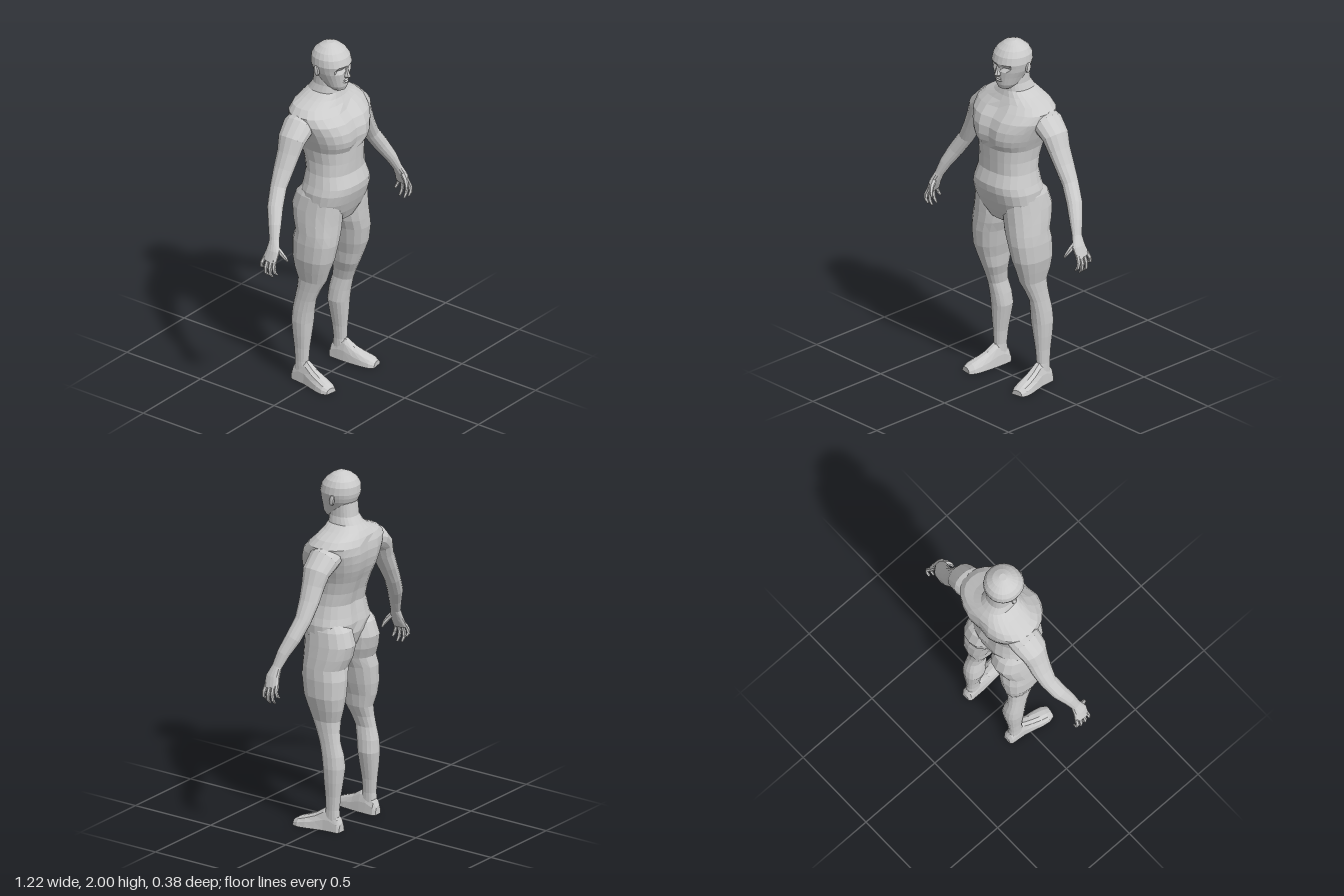
import * as THREE from 'three';

const material = new THREE.MeshStandardMaterial({ color: 0xcccccc, flatShading: true });

// Skin a list of rings (arrays of Vector3) into a closed surface.
function skin(rings) {
  const n = rings[0].length, pos = [], index = [];
  rings.forEach(r => r.forEach(p => pos.push(p.x, p.y, p.z)));
  for (let i = 0; i < rings.length - 1; i++) {
    for (let j = 0; j < n; j++) {
      const a = i * n + j, b = i * n + (j + 1) % n;
      index.push(a, a + n, b, b, a + n, b + n);
    }
  }
  [0, rings.length - 1].forEach(i => {
    const c = new THREE.Vector3();
    rings[i].forEach(p => c.addScaledVector(p, 1 / n));
    const k = pos.length / 3;
    pos.push(c.x, c.y, c.z);
    for (let j = 0; j < n; j++) {
      const a = i * n + j, b = i * n + (j + 1) % n;
      if (i === 0) index.push(k, a, b); else index.push(k, b, a);
    }
  });
  const g = new THREE.BufferGeometry();
  g.setAttribute('position', new THREE.Float32BufferAttribute(pos, 3));
  g.setIndex(index);
  g.computeVertexNormals();
  return g;
}

// Superellipse ring in the plane of u and v.
function ring(c, u, v, ru, rv, n, power) {
  const bend = t => Math.sign(t) * Math.pow(Math.abs(t), 2 / power);
  return Array.from({ length: n }, (_, j) => {
    const a = j / n * Math.PI * 2;
    return c.clone().addScaledVector(u, ru * bend(Math.cos(a))).addScaledVector(v, rv * bend(Math.sin(a)));
  });
}

const X = new THREE.Vector3(1, 0, 0), Z = new THREE.Vector3(0, 0, 1);

// Level slices, bottom to top: [y, xMin, xMax, zFront, zBack].
function slices(rows, n, power = 2, shape = () => {}) {
  return skin(rows.map(([y, x0, x1, zf, zb]) => {
    const r = ring(new THREE.Vector3((x0 + x1) / 2, y, (zf + zb) / 2), X, Z, (x1 - x0) / 2, (zf - zb) / 2, n, power);
    r.forEach(shape);
    return r;
  }));
}
const centred = rows => rows.map(([y, w, zf, zb]) => [y, -w, w, zf, zb]);

// Limb swept along a path: [x, y, z, radius across, radius along the hint].
function limb(rows, n, hint = Z, power = 2) {
  const pts = rows.map(r => new THREE.Vector3(r[0], r[1], r[2]));
  return skin(rows.map((r, i) => {
    const t = pts[Math.min(i + 1, pts.length - 1)].clone().sub(pts[Math.max(i - 1, 0)]).normalize();
    const v = hint.clone().addScaledVector(t, -hint.dot(t)).normalize();
    return ring(pts[i], t.clone().cross(v), v, r[3], r[4], n, power);
  }));
}

function mirrored(geometry) {
  const g = geometry.clone().scale(-1, 1, 1), ix = g.index.array;
  for (let i = 0; i < ix.length; i += 3) [ix[i], ix[i + 1]] = [ix[i + 1], ix[i]];
  g.computeVertexNormals();
  return g;
}

export function createModel() {
  const model = new THREE.Group();
  model.name = 'humanFigure';
  const add = (name, geometry) => {
    const m = new THREE.Mesh(geometry, material);
    m.name = name;
    model.add(m);
  };
  const addPair = (name, geometry) => {
    add('left' + name, geometry);
    add('right' + name, mirrored(geometry));
  };

  // Torso from crotch to neck, with breastbone and spine grooves
  add('torso', slices(centred([
    [0.94, 0.045, 0.06, -0.03], [0.98, 0.1, 0.12, -0.07], [1.04, 0.17, 0.148, -0.1],
    [1.1, 0.2, 0.17, -0.12], [1.16, 0.2, 0.188, -0.128], [1.2, 0.187, 0.19, -0.12],
    [1.27, 0.17, 0.165, -0.108], [1.34, 0.165, 0.166, -0.125], [1.41, 0.173, 0.168, -0.15],
    [1.445, 0.186, 0.186, -0.165], [1.48, 0.2, 0.192, -0.178], [1.53, 0.218, 0.186, -0.19],
    [1.58, 0.238, 0.163, -0.195], [1.625, 0.24, 0.12, -0.19], [1.66, 0.205, 0.085, -0.175],
    [1.69, 0.135, 0.068, -0.155], [1.72, 0.085, 0.058, -0.13], [1.76, 0.072, 0.055, -0.102],
    [1.84, 0.07, 0.04, -0.092],
  ]), 24, 2.4, p => {
    if (Math.abs(p.x) > 0.005) return;
    if (p.z > 0 && p.y > 1.43 && p.y < 1.64) p.z -= 0.016;
    if (p.z < 0 && p.y > 1.15 && p.y < 1.64) p.z += 0.012;
  }));

  // Head with eye hollows
  add('head', slices(centred([
    [1.74, 0.04, 0.09, -0.01], [1.765, 0.062, 0.1, -0.045], [1.81, 0.08, 0.104, -0.075],
    [1.845, 0.096, 0.107, -0.097], [1.868, 0.102, 0.108, -0.106], [1.89, 0.107, 0.112, -0.11],
    [1.93, 0.102, 0.1, -0.108], [1.96, 0.085, 0.077, -0.092], [1.985, 0.055, 0.045, -0.062],
    [2, 0.02, 0.015, -0.025],
  ]), 24, 2.1, p => {
    const eye = Math.abs(p.x) > 0.015 && Math.abs(p.x) < 0.065;
    if (eye && p.z > 0 && Math.abs(p.y - 1.868) < 0.005) p.z -= 0.014;
  }));
  add('nose', slices(centred([
    [1.816, 0.012, 0.112, 0.08], [1.827, 0.018, 0.132, 0.08],
    [1.845, 0.013, 0.124, 0.08], [1.88, 0.008, 0.111, 0.08],
  ]), 8));
  add('lips', slices(centred([
    [1.782, 0.018, 0.101, 0.07], [1.79, 0.027, 0.11, 0.07],
    [1.797, 0.03, 0.104, 0.07], [1.803, 0.026, 0.111, 0.07], [1.811, 0.014, 0.104, 0.07],
  ]), 10));
  addPair('Ear', new THREE.SphereGeometry(1, 8, 6).scale(0.01, 0.031, 0.018).rotateX(-0.2).translate(0.105, 1.86, -0.018));

  // Arms, running into the palms
  addPair('Arm', limb([
    [0.165, 1.585, -0.055, 0.06, 0.085], [0.225, 1.563, -0.05, 0.07, 0.092],
    [0.287, 1.51, -0.046, 0.06, 0.082], [0.315, 1.44, -0.046, 0.053, 0.068],
    [0.355, 1.36, -0.048, 0.046, 0.06], [0.405, 1.27, -0.045, 0.042, 0.048],
    [0.462, 1.18, -0.022, 0.041, 0.045], [0.507, 1.1, 0.01, 0.033, 0.037],
    [0.537, 1.03, 0.03, 0.023, 0.03], [0.562, 0.975, 0.04, 0.022, 0.043],
    [0.585, 0.92, 0.033, 0.016, 0.047],
  ], 14));

  // Fingers: [knuckle z, tip z, tip y]
  [[0.067, 0.078, 0.85], [0.045, 0.048, 0.828], [0.022, 0.016, 0.832], [0, -0.014, 0.87]].forEach(([zk, zt, yt], i) => {
    const mid = 0.925 + (yt - 0.925) * 0.5;
    addPair('Finger' + (i + 1), limb([
      [0.58, 0.94, zk, 0.011, 0.011], [0.597, mid + 0.01, (zk + zt) / 2, 0.012, 0.011],
      [0.594, (mid + yt) / 2, zt, 0.01, 0.01], [0.575, yt, zt, 0.006, 0.006],
    ], 6));
  });
  addPair('Thumb', limb([
    [0.552, 1.005, 0.045, 0.014, 0.018], [0.542, 0.965, 0.083, 0.014, 0.015],
    [0.53, 0.938, 0.1, 0.011, 0.011], [0.518, 0.915, 0.106, 0.006, 0.006],
  ], 6));

  // Legs, including the buttocks
  addPair('Leg', slices([
    [0.05, 0.135, 0.2, -0.01, -0.115], [0.12, 0.137, 0.198, -0.03, -0.108],
    [0.2, 0.13, 0.2, -0.025, -0.115], [0.28, 0.115, 0.208, -0.017, -0.125],
    [0.36, 0.1, 0.213, -0.01, -0.133], [0.43, 0.108, 0.21, 0, -0.127],
    [0.5, 0.12, 0.205, 0.015, -0.11], [0.56, 0.11, 0.203, 0.04, -0.1],
    [0.62, 0.09, 0.203, 0.07, -0.098], [0.69, 0.083, 0.22, 0.095, -0.118],
    [0.76, 0.065, 0.235, 0.12, -0.128], [0.86, 0.045, 0.235, 0.137, -0.13],
    [0.92, 0.022, 0.23, 0.138, -0.118], [0.98, 0.008, 0.223, 0.138, -0.142],
    [1.05, 0.004, 0.213, 0.14, -0.157], [1.13, 0.01, 0.2, 0.14, -0.132],
    [1.2, 0.06, 0.165, 0.1, -0.07],
  ], 16, 2.3));

  // Feet, turned out slightly, with flat soles: [x, z, half width, height]
  const foot = limb([
    [0.165, -0.127, 0.024, 0.05], [0.165, -0.112, 0.035, 0.085], [0.167, -0.065, 0.038, 0.125],
    [0.169, -0.025, 0.04, 0.125], [0.177, 0.025, 0.045, 0.09], [0.187, 0.08, 0.05, 0.066],
    [0.195, 0.125, 0.049, 0.048], [0.2, 0.155, 0.034, 0.03],
  ].map(([x, z, w, h]) => [x, 0, z, w, h]), 14, new THREE.Vector3(0, 1, 0), 2.3);
  const p = foot.attributes.position;
  for (let i = 0; i < p.count; i++) p.setY(i, Math.max(0, p.getY(i)));
  foot.computeVertexNormals();
  addPair('Foot', foot);

  return model;
}
